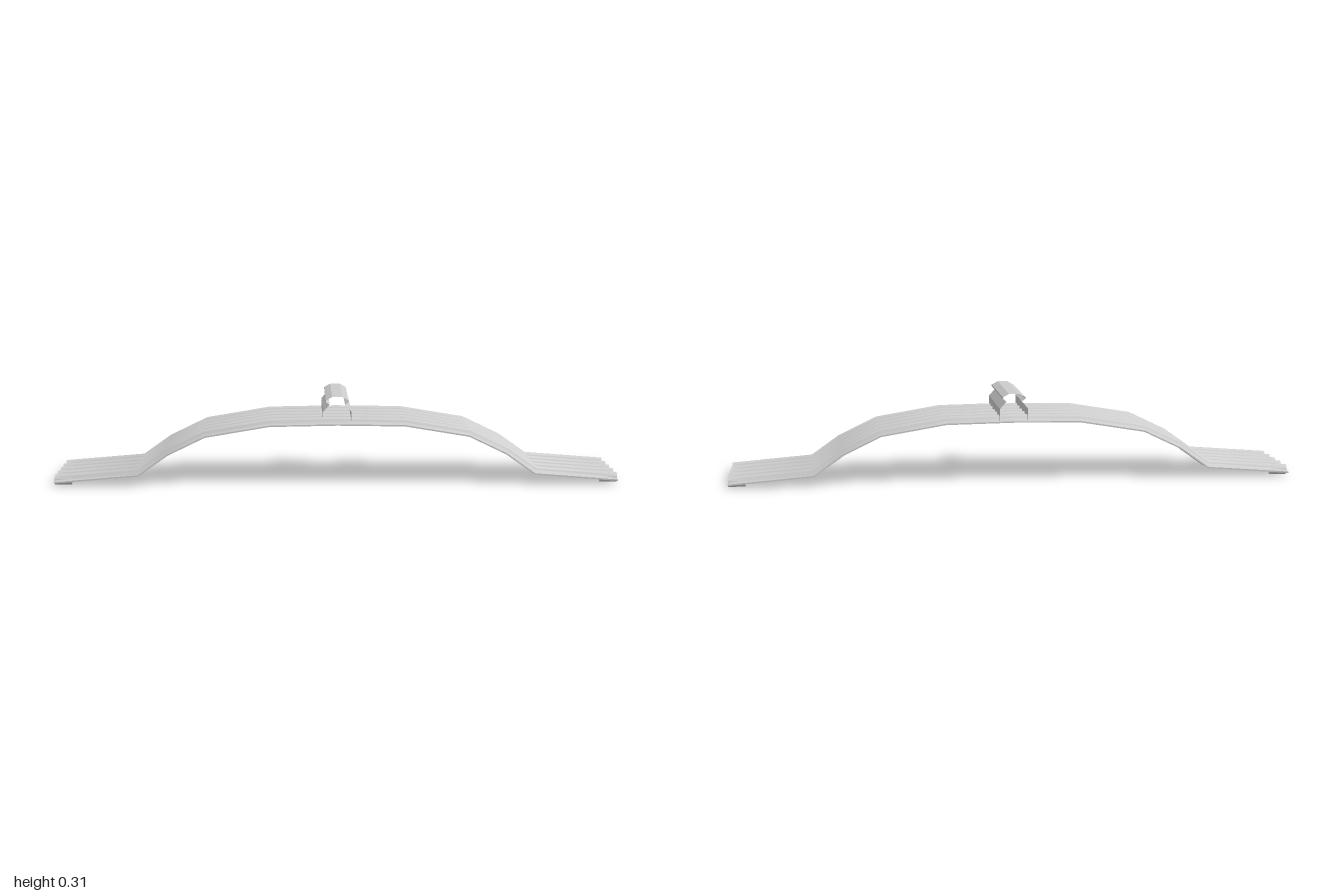
import * as THREE from 'three';
import { toCreasedNormals } from 'three/addons/utils/BufferGeometryUtils.js';

const material = new THREE.MeshStandardMaterial({ color: 0xcccccc, side: THREE.DoubleSide });
const RIBS = [0.14, 0.07, 0, -0.07, -0.14];
const HALF_DEPTH = 0.176;

function addMesh(parent, name, geometry) {
  const mesh = new THREE.Mesh(geometry, material);
  mesh.name = name;
  parent.add(mesh);
  return mesh;
}

// One skin of the ribbed sheet in cross-section, as [z, height] from +z to -z
function ribbedProfile(radius, lower) {
  const pts = [[HALF_DEPTH, 0.002 - lower]];
  RIBS.forEach((c, n) => {
    pts.push([c + radius + 0.004, 0.004 - lower]);
    for (let k = 0; k <= 8; k++) {
      const a = (k / 8) * Math.PI;
      pts.push([c + radius * Math.cos(a), 0.009 + radius * Math.sin(a)]);
    }
    pts.push([c - radius - 0.004, 0.004 - lower]);
    // shallow pan between two ribs
    if (n < RIBS.length - 1) {
      pts.push([c - 0.026, 0.001 - lower], [c - 0.035, -lower], [c - 0.044, 0.001 - lower]);
    }
  });
  pts.push([-HALF_DEPTH, 0.002 - lower]);
  return pts;
}

// Sweep the thin ribbed shell along the arched path, mitred at each bend
function roofGeometry() {
  const half = [[0, 0.216], [0.24, 0.212], [0.468, 0.174], [0.6, 0.11], [0.703, 0.037], [1, 0.013]];
  const path = [...half.slice(1).reverse().map(([x, y]) => [-x, y]), ...half]
    .map(([x, y]) => new THREE.Vector2(x, y));
  const top = ribbedProfile(0.0135, 0);
  const under = ribbedProfile(0.009, 0.005);
  const loop = [...top, ...under.slice().reverse()];
  const n = loop.length;
  const positions = [];
  const index = [];

  path.forEach((p, i) => {
    const a = path[Math.max(i - 1, 0)], b = path[Math.min(i + 1, path.length - 1)];
    const before = (i ? p.clone().sub(a) : b.clone().sub(p)).normalize();
    const after = (i < path.length - 1 ? b.clone().sub(p) : p.clone().sub(a)).normalize();
    const t = before.clone().add(after).normalize();
    const stretch = 1 / t.dot(after);
    const atEnd = i === 0 || i === path.length - 1;
    for (const [z, h] of loop) {
      positions.push(atEnd ? p.x : p.x - t.y * h * stretch, p.y + t.x * h * stretch, z);
    }
  });

  for (let i = 0; i < path.length - 1; i++) {
    for (let j = 0; j < n; j++) {
      const a = i * n + j, b = i * n + (j + 1) % n;
      index.push(a, a + n, b, b, a + n, b + n);
    }
  }
  // close the two cut ends between upper and lower skins
  const last = (path.length - 1) * n;
  for (let j = 0; j < top.length - 1; j++) {
    const a = j, b = j + 1, c = n - 2 - j, d = n - 1 - j;
    index.push(a, b, c, a, c, d);
    index.push(last + a, last + c, last + b, last + a, last + d, last + c);
  }
  const geometry = new THREE.BufferGeometry();
  geometry.setAttribute('position', new THREE.Float32BufferAttribute(positions, 3));
  geometry.setIndex(index);
  return toCreasedNormals(geometry, 0.75);
}

// Open folded strip running across the crest
function ridgeGeometry() {
  const side = [[0.05, 0.215], [0.05, 0.262], [0.027, 0.288], [0.04, 0.297], [0.04, 0.303], [0.018, 0.315]];
  const profile = [...side, ...side.slice().reverse().map(([x, y]) => [-x, y])];
  const positions = [];
  const index = [];
  profile.forEach(([x, y], i) => {
    positions.push(x, y, 0.178, x, y, -0.173);
    if (i) {
      const a = 2 * (i - 1);
      index.push(a, a + 1, a + 2, a + 2, a + 1, a + 3);
    }
  });
  const geometry = new THREE.BufferGeometry();
  geometry.setAttribute('position', new THREE.Float32BufferAttribute(positions, 3));
  geometry.setIndex(index);
  return toCreasedNormals(geometry, 0.3);
}

export function createModel() {
  const model = new THREE.Group();
  model.name = 'archedRoof';

  addMesh(model, 'ribbedRoofSheet', roofGeometry());
  addMesh(model, 'ridgeCap', ridgeGeometry());

  // Round plugs closing both ends of every rib
  const plugs = new THREE.Group();
  plugs.name = 'ribEndPlugs';
  model.add(plugs);
  const plugGeometry = new THREE.CylinderGeometry(0.017, 0.017, 0.06, 16).rotateZ(Math.PI / 2);
  for (const z of RIBS) {
    for (const s of [-1, 1]) {
      addMesh(plugs, 'ribEndPlug', plugGeometry).position.set(s * 0.97, 0.017, z);
    }
  }
  return model;
}
